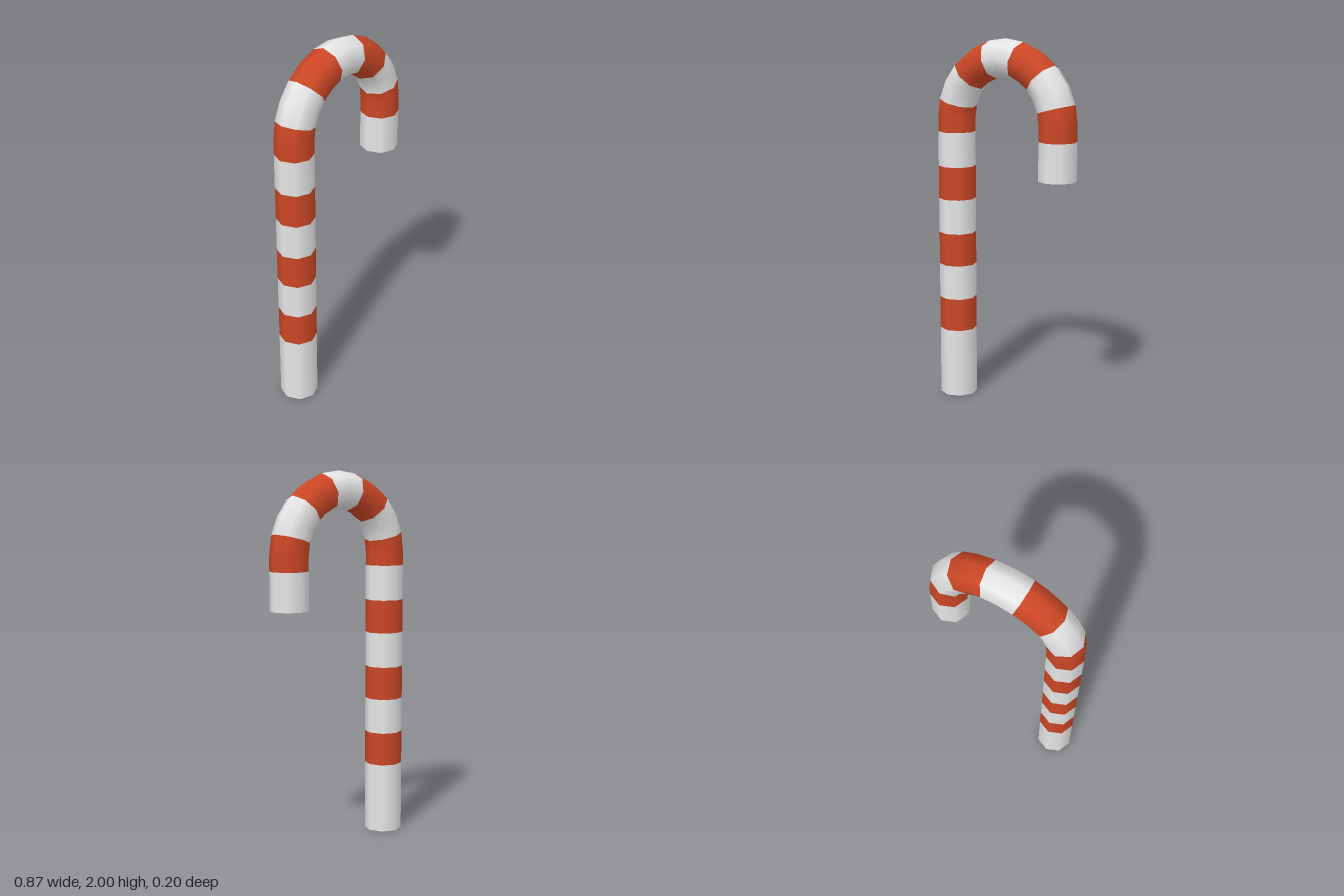
import * as THREE from 'three';

const TUBE = 0.102, BEND = 0.335, BEND_Y = 1.563, TIP_Y = 1.28, SIDES = 8;

// Stations along the cane: centre point plus the outward direction in the xy plane
const leg = (y) => ({ x: -BEND, y, nx: -1, ny: 0 });
const tip = (y) => ({ x: BEND, y, nx: 1, ny: 0 });
const arc = (deg) => {
  const a = THREE.MathUtils.degToRad(deg);
  const nx = -Math.cos(a), ny = Math.sin(a);
  return { x: BEND * nx, y: BEND_Y + BEND * ny, nx, ny };
};

// Smooth eight-sided sleeve through a list of stations
function sleeve(stations) {
  const position = [], normal = [], index = [];
  for (const s of stations) {
    for (let j = 0; j <= SIDES; j++) {
      const t = (j / SIDES) * Math.PI * 2;
      const n = [Math.cos(t) * s.nx, Math.cos(t) * s.ny, Math.sin(t)];
      normal.push(...n);
      position.push(s.x + TUBE * n[0], s.y + TUBE * n[1], TUBE * n[2]);
    }
  }
  const row = SIDES + 1;
  for (let i = 0; i < stations.length - 1; i++) {
    for (let j = 0; j < SIDES; j++) {
      const a = i * row + j, d = a + row;
      index.push(a, a + 1, d + 1, a, d + 1, d);
    }
  }
  const g = new THREE.BufferGeometry();
  g.setAttribute('position', new THREE.Float32BufferAttribute(position, 3));
  g.setAttribute('normal', new THREE.Float32BufferAttribute(normal, 3));
  g.setIndex(index);
  return g;
}

export function createModel() {
  const white = new THREE.MeshStandardMaterial({ name: 'sugar white', color: 0xe6e6e6 });
  const red = new THREE.MeshStandardMaterial({ name: 'stripe red', color: 0xcc4726 });
  const cane = new THREE.Group();
  cane.name = 'candyCane';

  const add = (name, geometry, material) => {
    const mesh = new THREE.Mesh(geometry, material);
    mesh.name = name;
    cane.add(mesh);
  };

  // Bands from the foot, over the hook, to the tip; colours alternate
  const bands = [];
  const cuts = [0, 0.38, 0.56, 0.75, 0.93, 1.12, 1.3, 1.49];
  for (let i = 0; i < cuts.length - 1; i++) bands.push([leg(cuts[i]), leg(cuts[i + 1])]);
  bands.push([leg(1.49), arc(0), arc(15)]);
  for (let a = 15; a < 165; a += 30) bands.push([arc(a), arc(a + 15), arc(a + 30)]);
  bands.push([arc(165), arc(180), tip(1.485)]);
  bands.push([tip(1.485), tip(TIP_Y)]);
  bands.forEach((stations, i) => {
    const isRed = i % 2 === 1;
    add((isRed ? 'redStripe' : 'whiteStripe') + (i + 1), sleeve(stations), isRed ? red : white);
  });

  // Flat ends, both facing down
  for (const [name, x, y] of [['footCap', -BEND, 0], ['tipCap', BEND, TIP_Y]]) {
    add(name, new THREE.CircleGeometry(TUBE, SIDES).rotateX(Math.PI / 2).translate(x, y, 0), white);
  }
  return cane;
}
